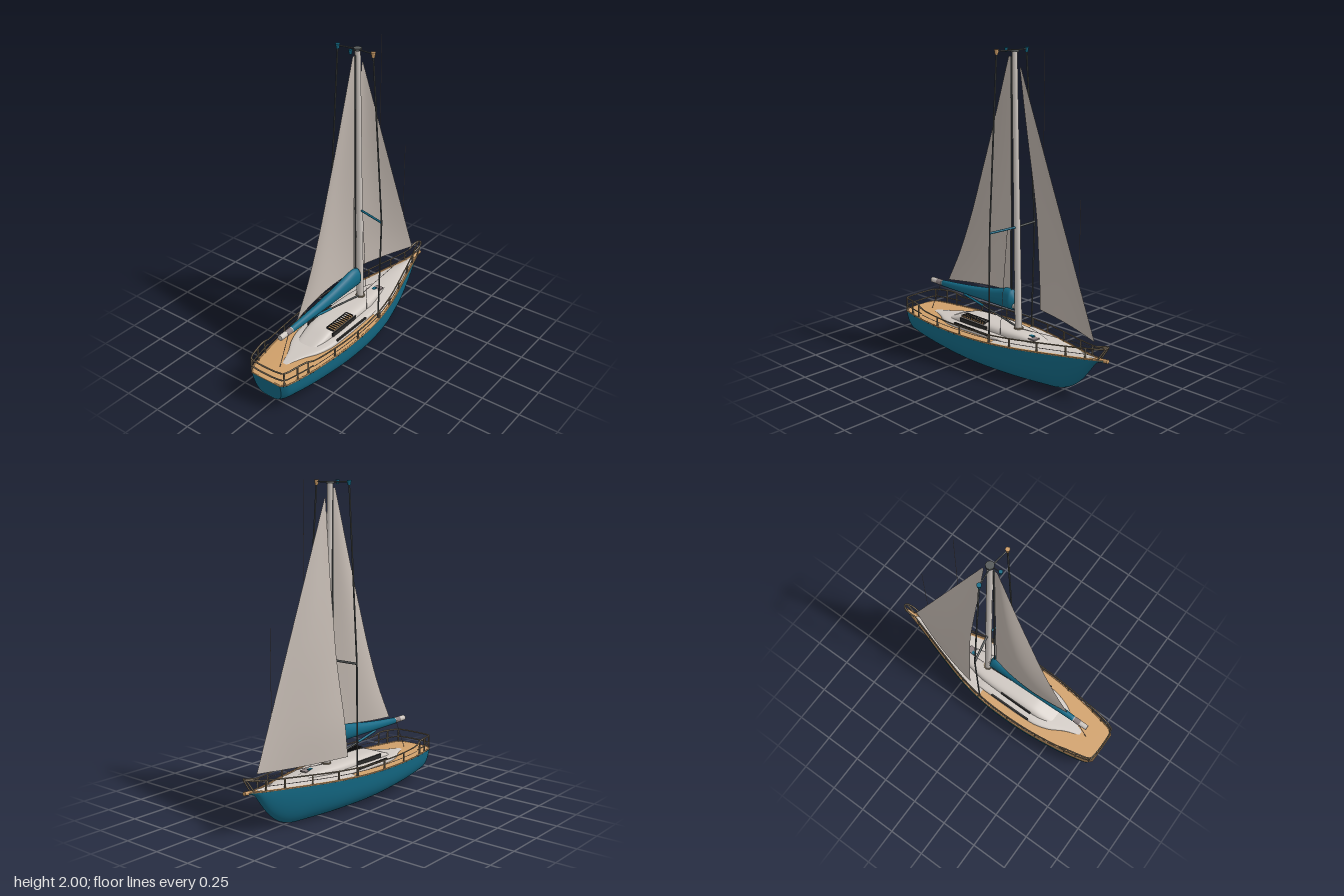
import * as THREE from 'three';

const mat = (name, color, side = THREE.FrontSide) => {
  const m = new THREE.MeshStandardMaterial({ color, side });
  m.name = name;
  return m;
};
const V = (x, y, z) => new THREE.Vector3(x, y, z);
const lerp = THREE.MathUtils.lerp;

// Smooth curve through [x, value] pairs
function table(pts) {
  const slope = i => {
    const a = pts[Math.max(i - 1, 0)], b = pts[Math.min(i + 1, pts.length - 1)];
    return (b[1] - a[1]) / (b[0] - a[0]);
  };
  return x => {
    let i = 0;
    while (i < pts.length - 2 && x > pts[i + 1][0]) i++;
    const [x0, y0] = pts[i], [x1, y1] = pts[i + 1], d = x1 - x0;
    const t = THREE.MathUtils.clamp((x - x0) / d, 0, 1), t2 = t * t, t3 = t2 * t;
    return (2 * t3 - 3 * t2 + 1) * y0 + (t3 - 2 * t2 + t) * d * slope(i)
      + (3 * t2 - 2 * t3) * y1 + (t3 - t2) * d * slope(i + 1);
  };
}

// Surface from a rule fn(u, v) -> Vector3
function surface(nu, nv, fn) {
  const pos = [], idx = [];
  for (let i = 0; i <= nu; i++) for (let j = 0; j <= nv; j++) pos.push(...fn(i / nu, j / nv).toArray());
  for (let i = 0; i < nu; i++) for (let j = 0; j < nv; j++) {
    const a = i * (nv + 1) + j, b = a + nv + 1;
    idx.push(a, b, a + 1, b, b + 1, a + 1);
  }
  const g = new THREE.BufferGeometry();
  g.setAttribute('position', new THREE.Float32BufferAttribute(pos, 3));
  g.setIndex(idx);
  g.computeVertexNormals();
  return g;
}

// Hull lines: half beam, sheer height and keel height along x
const beam = table([[-0.83, 0.11], [-0.81, 0.135], [-0.75, 0.155], [-0.6, 0.185], [-0.38, 0.212], [-0.2, 0.22],
  [0, 0.213], [0.2, 0.18], [0.4, 0.125], [0.6, 0.064], [0.72, 0.03], [0.82, 0.006]]);
const sheer = table([[-0.83, 0.195], [-0.5, 0.2], [0, 0.217], [0.4, 0.235], [0.7, 0.255], [0.82, 0.27]]);
const keel = table([[-0.83, 0.05], [-0.5, 0.028], [-0.2, 0.01], [0.1, 0.006], [0.38, 0], [0.47, 0.004], [0.55, 0.035],
  [0.63, 0.1], [0.69, 0.175], [0.74, 0.238], [0.82, 0.262]]);
const power = (v, n) => Math.sign(v) * Math.pow(Math.abs(v), 2 / n);

export function createModel() {
  const model = new THREE.Group();
  const blue = mat('hullBlue', 0x146a86);
  const wood = mat('teak', 0xd0a06a, THREE.DoubleSide);
  const white = mat('deckWhite', 0xcfc8c2);
  const cloth = mat('sailCloth', 0xc2b8b0, THREE.DoubleSide);
  const metal = mat('railMetal', 0x857762);
  const wire = mat('riggingWire', 0x565a5a);
  const dark = mat('darkGlass', 0x2b2b2b);
  const rope = mat('ropeGrey', 0x8a7f80);

  const add = (name, geo, m, parent = model) => {
    const mesh = new THREE.Mesh(geo, m);
    mesh.name = name;
    parent.add(mesh);
    return mesh;
  };
  const rod = (name, a, b, r, m, r2 = r) => {
    const mesh = add(name, new THREE.CylinderGeometry(r2, r, a.distanceTo(b), 12), m);
    mesh.position.copy(a).lerp(b, 0.5);
    mesh.quaternion.setFromUnitVectors(V(0, 1, 0), b.clone().sub(a).normalize());
    return mesh;
  };
  const tube = (name, pts, r, m, n = 60) =>
    add(name, new THREE.TubeGeometry(new THREE.CatmullRomCurve3(pts, false, 'centripetal'), n, r, 6), m);
  const box = (name, w, h, d, x, y, z, m) => {
    const mesh = add(name, new THREE.BoxGeometry(w, h, d), m);
    mesh.position.set(x, y, z);
    return mesh;
  };

  // Hull shell and raked transom
  const hullPoint = (x, v) => {
    const a = Math.PI * (1 - v), n = lerp(3.4, 1.9, THREE.MathUtils.smoothstep(x, 0.1, 0.65));
    const s = power(Math.sin(a), n), top = sheer(x), depth = Math.max(top - keel(x), 0.004);
    const rake = 0.03 * s * THREE.MathUtils.smoothstep(-x, 0.5, 0.83);
    return V(x + rake, top - depth * s, power(Math.cos(a), n) * beam(x) * (1 - 0.1 * s));
  };
  add('hull', surface(80, 40, (u, v) => hullPoint(lerp(-0.83, 0.82, u), v)), blue);
  add('transom', surface(1, 40, (u, v) => V(-0.83, 0.195, 0).lerp(hullPoint(-0.83, v), u)), blue);

  // Teak deck, white foredeck
  add('deck', surface(80, 6, (u, v) => {
    const x = lerp(-0.83, 0.82, u), s = 1 - 2 * v;
    return V(x, sheer(x) + 0.006 * (1 - s * s) + 0.002, s * beam(x));
  }), wood);
  add('foredeck', surface(40, 12, (u, v) => {
    const x = lerp(0.05, 0.73, u), s = 1 - 2 * v;
    return V(x, sheer(x) + 0.006 + 0.018 * (1 - s * s) * (1 - u * 0.5), s * Math.max(beam(x) - 0.02, 0.004));
  }), white);

  // Cabin in two tiers
  const tier = (name, x0, x1, width, height, n) => add(name, surface(60, 32, (u, v) => {
    const x = lerp(x0, x1, u), a = Math.PI * v;
    return V(x, sheer(x) + height(x) * power(Math.sin(a), n), power(Math.cos(a), n) * width(x));
  }), white);
  tier('cabinBase', -0.68, 0.16, table([[-0.68, 0.01], [-0.56, 0.055], [-0.46, 0.11], [-0.34, 0.14], [0.05, 0.145], [0.16, 0.14]]),
    table([[-0.68, 0.006], [-0.5, 0.022], [-0.3, 0.032], [0.05, 0.028], [0.16, 0.004]]), 5);
  tier('cabinTrunk', -0.5, 0.4, table([[-0.5, 0.06], [-0.35, 0.092], [-0.1, 0.1], [0.12, 0.09], [0.4, 0.03]]),
    table([[-0.5, 0.01], [-0.4, 0.045], [-0.3, 0.072], [-0.1, 0.072], [0.1, 0.062], [0.22, 0.05], [0.4, 0.004]]), 4);

  // Slatted roof hatch and small foredeck hatch
  box('roofHatch', 0.2, 0.006, 0.055, -0.2, 0.278, 0.07, wood);
  for (let i = 0; i < 11; i++) box('hatchSlat', 0.004, 0.012, 0.055, -0.3 + i * 0.02, 0.282, 0.07, dark);
  box('hatchEdge', 0.2, 0.012, 0.005, -0.2, 0.282, 0.045, dark);
  box('foreHatch', 0.05, 0.008, 0.05, 0.27, 0.265, 0.03, rope);
  box('foreVent', 0.03, 0.008, 0.02, 0.245, 0.272, 0.018, blue);

  // Fittings and rails mirrored on both sides
  const edge = (x, h, inset = 0.008) => V(x, sheer(x) + h, Math.max(beam(x) - inset, 0.004));
  const xs = (a, b, n) => Array.from({ length: n + 1 }, (_, i) => lerp(a, b, i / n));
  const railHeight = table([[-0.82, 0.09], [-0.66, 0.093], [-0.58, 0.07], [0, 0.058], [0.4, 0.064], [0.72, 0.07], [0.8, 0.085]]);
  for (const s of [1, -1]) {
    const m = p => V(p.x, p.y, p.z * s);
    tube('toeRail', xs(-0.83, 0.82, 50).map(x => m(edge(x, 0.003, 0.004))), 0.005, wood, 100);
    tube('sternSideRail', xs(-0.815, -0.6, 8).map(x => m(edge(x, railHeight(x)))), 0.0055, metal, 24);
    tube('topRail', xs(-0.6, 0.72, 32).map(x => m(edge(x, railHeight(x)))), 0.0045, metal, 70);
    tube('lowerRail', xs(-0.815, -0.6, 8).map(x => m(edge(x, 0.04))), 0.004, metal, 20);
    tube('lifeline', xs(-0.6, 0.7, 24).map(x => m(edge(x, 0.032))), 0.002, rope, 60);
    for (const x of [-0.81, -0.72, -0.64, -0.42, -0.2, 0.05, 0.2, 0.38, 0.56, 0.68])
      rod('stanchion', m(edge(x, 0)), m(edge(x, railHeight(x))), 0.0055, metal);
    tube('bowRail', [m(edge(0.72, 0.07)), V(0.77, 0.338, 0.025 * s), V(0.81, 0.35, 0.015 * s), V(0.823, 0.352, 0)], 0.006, metal, 20);
    rod('bowRailLeg', V(0.815, 0.35, 0.012 * s), V(0.755, 0.262, 0.018 * s), 0.005, metal);
    box('sideWindow', 0.3, 0.012, 0.012, -0.17, 0.238, 0.14 * s, dark);
    box('cabinWindow', 0.24, 0.026, 0.008, -0.19, 0.254, 0.098 * s, dark);

    // Standing rigging
    const head = V(0.05, 1.985, 0.125 * s), tip = V(0.06, 0.92, 0.195 * s), foot = V(0.045, 0.225, 0.19 * s);
    rod('upperShroud', head, tip, 0.005, wire);
    rod('lowerShroud', tip, foot, 0.005, wire);
    rod('spreader', V(0.1, 0.93, 0), tip, 0.007, s > 0 ? blue : wire);
    rod('mastheadArm', V(0.065, 1.985, 0), head, 0.004, wire);
    rod('mastheadLight', V(head.x, 1.966, head.z), V(head.x, 1.996, head.z), 0.009, s > 0 ? wood : blue, 0.014);
  }
  // Stern rail across the transom
  for (const h of [0.04, 0.09])
    tube('sternRail', [edge(-0.815, h), V(-0.824, 0.195 + h, 0.07), V(-0.824, 0.195 + h, -0.07),
      edge(-0.815, h).multiply(V(1, 1, -1))], 0.005, metal, 30);
  tube('sternToeRail', [V(-0.828, 0.198, 0.106), V(-0.829, 0.198, 0), V(-0.828, 0.198, -0.106)], 0.005, wood, 12);
  rod('bowsprit', V(0.7, 0.255, 0), V(0.822, 0.271, 0), 0.012, wood);

  // Mast and masthead
  rod('mast', V(0.113, 0.25, 0), V(0.073, 1.985, 0), 0.023, white, 0.017);
  rod('mastFoot', V(0.113, 0.25, 0), V(0.113, 0.29, 0), 0.03, metal);
  rod('mastCap', V(0.073, 1.976, 0), V(0.073, 1.99, 0), 0.025, wire);
  rod('vaneArm', V(0.07, 1.987, 0), V(0.005, 1.987, 0), 0.003, wire);
  rod('windVane', V(0.004, 1.972, 0), V(0.004, 1.998, 0), 0.008, blue, 0.012);

  // Boom, its cover, strut and lines
  rod('boom', V(-0.69, 0.413, 0), V(0.09, 0.42, 0), 0.018, white);
  rod('boomEnd', V(-0.635, 0.413, 0), V(-0.59, 0.413, 0), 0.0195, rope);
  const coverTop = table([[-0.6, 0.432], [-0.4, 0.45], [-0.2, 0.475], [-0.05, 0.505], [0.03, 0.525], [0.085, 0.515]]);
  add('boomCover', surface(40, 24, (u, v) => {
    const end = u === 0 || u === 1 ? 0 : 1, x = lerp(-0.6, 0.085, u), a = -2 * Math.PI * v;
    const top = coverTop(x), low = 0.392, mid = (top + low) / 2;
    return V(x, mid + end * Math.sin(a + Math.PI) * (top - low) / 2, end * Math.cos(a) * lerp(0.018, 0.04, u));
  }), blue);
  rod('boomStrut', V(-0.38, 0.387, 0), V(-0.2, 0.35, 0), 0.008, blue);
  rod('boomStrutLower', V(-0.2, 0.35, 0), V(0.1, 0.29, 0), 0.006, wire);
  rod('mainsheet', V(-0.61, 0.4, 0), V(-0.7, 0.21, 0), 0.002, rope);
  rod('foredeckLine', V(0.13, 0.285, 0), V(0.77, 0.335, 0), 0.0015, rope);
  rod('flagHalyard', V(0.065, 0.92, 0.05), V(0.05, 0.25, 0.1), 0.0015, rope);
  rod('halyard', V(0.048, 1.95, 0), V(0.055, 0.52, 0), 0.005, wire);
  rod('upperStreamer', V(0.31, 1.42, 0), V(0.31, 2, 0), 0.0015, rope);
  rod('lowerStreamer', V(0.595, 0.68, 0), V(0.595, 1.18, 0), 0.0015, rope);

  // Mainsail, fullest a little above the boom
  const belly = v => (0.4 + 3 * v) * Math.pow(1 - v, 1.5);
  const leech = table([[0.45, -0.53], [0.68, -0.41], [0.95, -0.3], [1.2, -0.215], [1.47, -0.125], [1.95, 0.025]]);
  add('mainsail', surface(24, 40, (u, v) => {
    const y = lerp(lerp(0.45, 0.51, u), 1.95, v);
    return V(lerp(leech(y), 0.044, u), y, -0.07 * Math.sin(Math.PI * u) * belly(v));
  }), cloth);

  // Headsail, sheeted out to the right side
  const jibX = table([[0.36, 0.125], [0.65, 0.138], [0.95, 0.153], [1.2, 0.147], [1.89, 0.115]]);
  const jibZ = table([[0.36, -0.18], [0.55, -0.167], [0.8, -0.135], [1.2, -0.085], [1.5, -0.045], [1.89, 0]]);
  add('headsail', surface(24, 40, (u, v) => {
    const y = lerp(0.36, 1.89, v);
    return V(lerp(jibX(y), lerp(0.72, 0.125, v), u), y, jibZ(y) * (1 - u) - 0.045 * Math.sin(Math.PI * u) * belly(v));
  }), cloth);

  return model;
}
